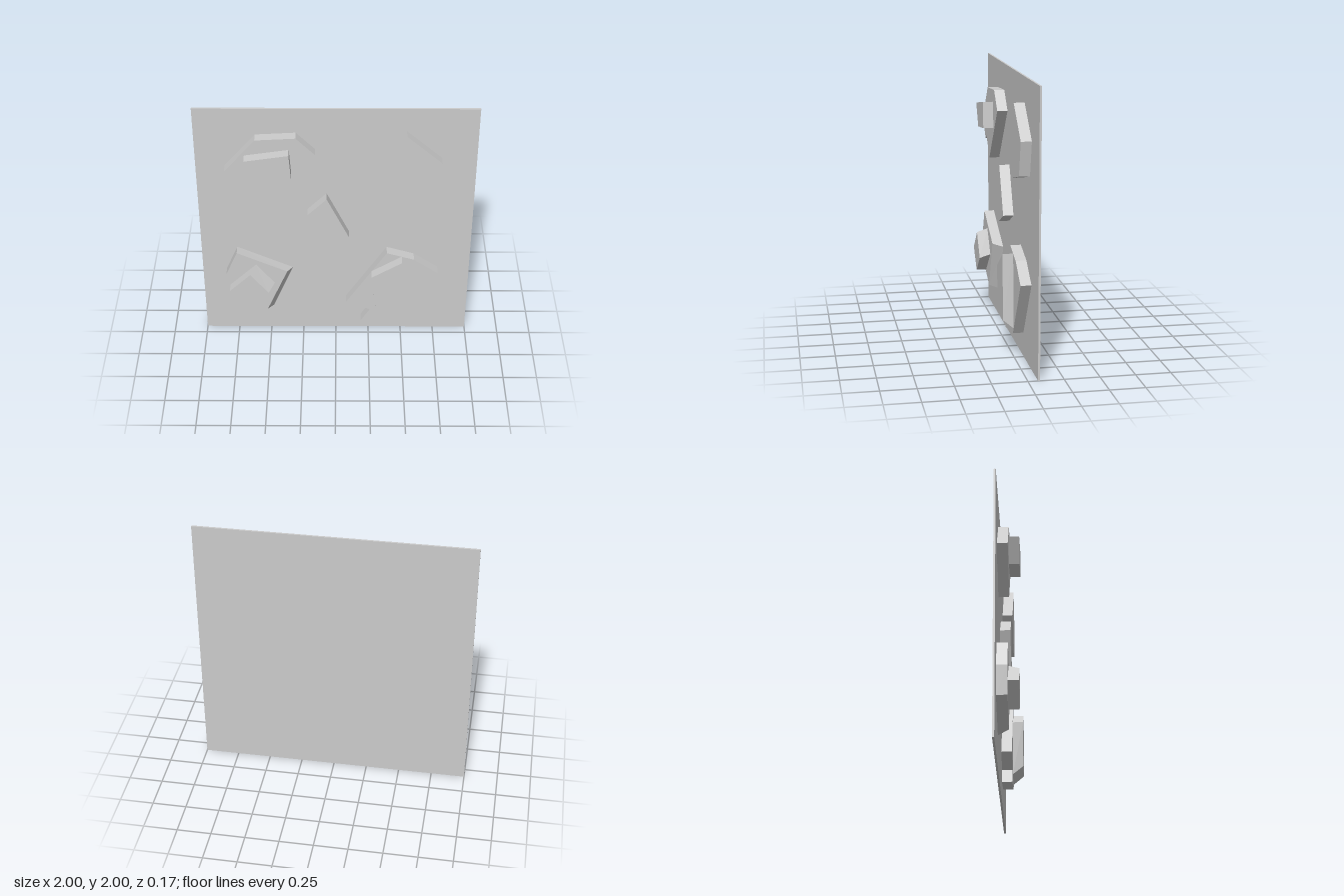
import * as THREE from 'three';

const material = new THREE.MeshStandardMaterial({ color: 0xcccccc, flatShading: true });
const BACK = -0.083, WALL = -0.069, LOWER = 0.007, FRONT = 0.083;

// Prism over an outline; "bevel" maps a corner index to where its front corner sits
function slab(name, outline, z0, z1, bevel = {}) {
  const shape = new THREE.Shape(outline.map(([x, y]) => new THREE.Vector2(x, y)));
  const geometry = new THREE.ExtrudeGeometry(shape, { depth: z1 - z0, bevelEnabled: false });
  const p = geometry.attributes.position;
  for (let i = 0; i < p.count; i++) {
    if (p.getZ(i) < (z1 - z0) / 2) continue;
    for (const [k, [x, y]] of Object.entries(bevel)) {
      const [ox, oy] = outline[k];
      if (Math.hypot(p.getX(i) - ox, p.getY(i) - oy) < 1e-4) {
        p.setXY(i, x, y);
        break;
      }
    }
  }
  geometry.translate(0, 0, z0);
  geometry.computeVertexNormals();
  const mesh = new THREE.Mesh(geometry, material);
  mesh.name = name;
  return mesh;
}

export function createModel() {
  const group = new THREE.Group();
  group.name = 'wallPanelWithStones';

  // Thin square backing
  group.add(slab('backPanel', [[-1, 0], [1, 0], [1, 2], [-1, 2]], BACK, WALL));

  // Flat stones lying on the panel
  group.add(
    slab('upperLeftStone', [[-0.791, 1.527], [-0.567, 1.789], [-0.281, 1.805], [-0.147, 1.668],
      [-0.495, 1.259], [-0.628, 1.414], [-0.666, 1.38]], WALL, LOWER),
    slab('upperRightStone', [[0.495, 1.821], [0.751, 1.596], [0.692, 1.348], [0.452, 1.291],
      [0.251, 1.495]], WALL, LOWER),
    slab('centreStone', [[-0.067, 1.283], [0.096, 0.939], [-0.08, 0.858], [-0.206, 1.142]], WALL, LOWER),
    slab('lowerLeftStone', [[-0.735, 0.789], [-0.324, 0.596], [-0.476, 0.222], [-0.8, 0.377],
      [-0.821, 0.586]], WALL, LOWER, { 1: [-0.364, 0.614], 2: [-0.521, 0.243] }),
    slab('lowerRightStone', [[0.078, 0.318], [0.377, 0.791], [0.58, 0.73], [0.762, 0.602],
      [0.484, 0.174], [0.19, 0.128], [0.259, 0.243]], WALL, LOWER),
  );

  // Smaller stones stacked on top
  group.add(
    slab('upperLeftTopStone', [[-0.644, 1.663], [-0.329, 1.711], [-0.316, 1.516], [-0.553, 1.492]],
      LOWER, FRONT),
    slab('lowerLeftTopStone', [[-0.795, 0.485], [-0.595, 0.68], [-0.46, 0.505], [-0.66, 0.33]],
      LOWER, FRONT, { 1: [-0.635, 0.642], 2: [-0.505, 0.467] }),
    slab('lowerRightTopStone', [[0.265, 0.618], [0.489, 0.759], [0.512, 0.219], [0.307, 0.227]],
      LOWER, FRONT, { 2: [0.511, 0.283], 3: [0.305, 0.289] }),
  );
  return group;
}
